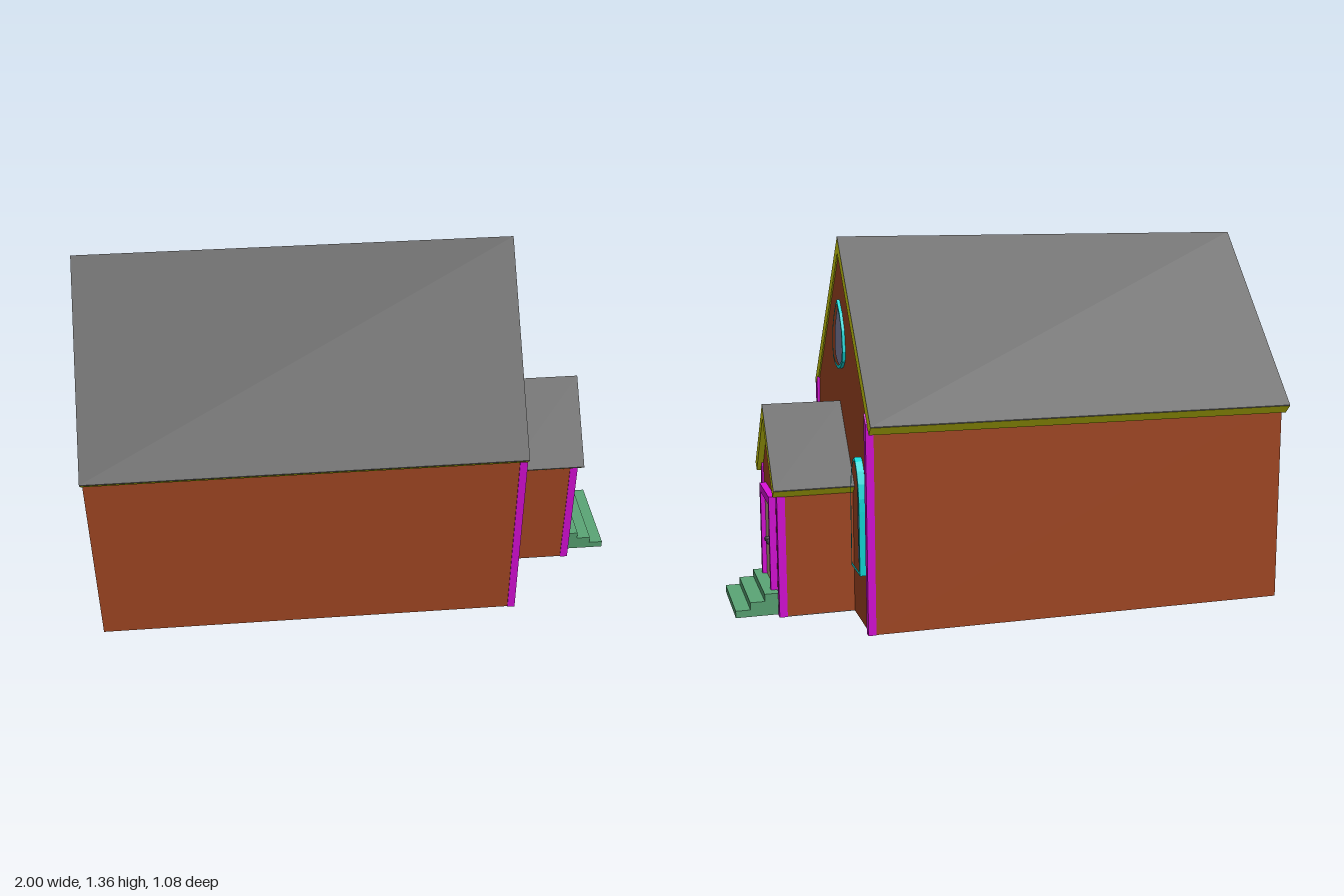
import * as THREE from 'three';

const mat = (color) => new THREE.MeshStandardMaterial({ color, flatShading: true });
const brick = mat(0xa84a25), roofGrey = mat(0x626262), yellow = mat(0xdcdc10),
  magenta = mat(0xdc10dc), cyan = mat(0x10dcdc), glass = mat(0x8888aa),
  green = mat(0x5ba676), wood = mat(0xbda684), dark = mat(0x444444), seam = mat(0xa0622f);

export function createModel() {
  const root = new THREE.Group();

  const add = (parent, name, geometry, material) => {
    const mesh = new THREE.Mesh(geometry, material);
    mesh.name = name;
    parent.add(mesh);
    return mesh;
  };
  const group = (name) => {
    const g = new THREE.Group();
    g.name = name;
    root.add(g);
    return g;
  };
  // Extrudes a [z, y] outline along x from x0 to x1
  const prism = (pts, x0, x1, hole) => {
    const vecs = (list) => list.map(([z, y]) => new THREE.Vector2(-z, y));
    const shape = new THREE.Shape(vecs(pts));
    if (hole) shape.holes.push(new THREE.Path(vecs(hole)));
    const geo = new THREE.ExtrudeGeometry(shape, { depth: x1 - x0, bevelEnabled: false });
    return geo.rotateY(Math.PI / 2).translate(x0, 0, 0);
  };
  const box = (x0, x1, y0, y1, z0, z1) =>
    new THREE.BoxGeometry(x1 - x0, y1 - y0, z1 - z0)
      .translate((x0 + x1) / 2, (y0 + y1) / 2, (z0 + z1) / 2);

  // Gable roof: trim-coloured slab with a thin covering on both slopes
  const roof = (parent, x0, x1, outer, inner) => {
    const [a, b, c] = outer;
    add(parent, 'roofTrim', prism([a, b, c, ...inner], x0, x1), yellow);
    const t = 0.003;
    add(parent, 'roofCovering', prism([[a[0], a[1] + t], [b[0], b[1] + t], [c[0], c[1] + t], c, b, a], x0, x1), roofGrey);
  };
  // Corner boards with tops cut to the roof slope
  const corners = (parent, x0, x1, zc, half, w, yOut, yIn) => {
    for (const s of [1, -1]) {
      const o = zc + s * half, i = zc + s * (half - w);
      add(parent, 'cornerBoard', prism([[o, 0], [o, yOut], [i, yIn], [i, 0]], x0, x1), magenta);
    }
  };

  // Main hall
  const hall = group('hall');
  add(hall, 'hallWalls', prism([[0.488, 0], [0.488, 0.755], [0.003, 1.303], [-0.482, 0.755], [-0.482, 0]], -0.998, 0.57), brick);
  roof(hall, -1, 0.575,
    [[0.54, 0.754], [0.003, 1.357], [-0.54, 0.744]],
    [[-0.509, 0.714], [0.003, 1.3], [0.509, 0.724]]);
  corners(hall, 0.553, 0.581, 0.003, 0.489, 0.03, 0.748, 0.78);

  // Entrance porch
  const porch = group('porch');
  add(porch, 'porchWalls', prism([[0.223, 0.003], [0.223, 0.475], [0.025, 0.698], [-0.193, 0.47], [-0.193, 0.003]], 0.565, 0.84), brick);
  add(porch, 'porchFloor', box(0.57, 0.838, 0, 0.004, -0.192, 0.222), roofGrey);
  roof(porch, 0.57, 0.862,
    [[0.26, 0.484], [0.025, 0.747], [-0.225, 0.474]],
    [[-0.195, 0.447], [0.025, 0.695], [0.23, 0.459]]);
  corners(porch, 0.818, 0.847, 0.015, 0.211, 0.03, 0.462, 0.495);

  // Double door with frame, seam and knobs
  const door = group('door');
  add(door, 'doorFrame', prism(
    [[0.14, 0.05], [0.14, 0.43], [-0.11, 0.43], [-0.11, 0.05], [-0.09, 0.05], [-0.09, 0.4], [0.115, 0.4], [0.115, 0.05]],
    0.835, 0.865), magenta);
  add(door, 'doorPanel', box(0.835, 0.848, 0.05, 0.402, -0.092, 0.117), wood);
  add(door, 'doorSeam', box(0.84, 0.849, 0.08, 0.4, 0.011, 0.015), seam);
  for (const z of [0.036, -0.008])
    add(door, 'doorKnob', new THREE.SphereGeometry(0.011, 12, 8).translate(0.855, 0.236, z), dark);

  // Steps as one stair profile in x, y
  const stair = new THREE.Shape([[0.842, 0], [1, 0], [1, 0.026], [0.947, 0.026], [0.947, 0.053],
    [0.894, 0.053], [0.894, 0.08], [0.842, 0.08]].map(([x, y]) => new THREE.Vector2(x, y)));
  add(root, 'steps', new THREE.ExtrudeGeometry(stair, { depth: 0.335, bevelEnabled: false })
    .translate(0, 0, -0.155), green);

  // Windows: half outline from bottom to peak, mirrored; inset sets the frame width
  const pane = (name, zc, half, yMid, depth, w) => {
    const g = group(name);
    const width = half[Math.floor(half.length / 2)][0];
    const top = half[half.length - 1][1], bottom = half[0][1];
    const ky = 1 - (2 * w) / (top - bottom), kx = 1 - w / width;
    const full = (sx, sy) => {
      const pts = half.map(([z, y]) => [z * sx, yMid + (y - yMid) * sy]);
      const mirror = pts.filter(([z]) => z > 0).reverse().map(([z, y]) => [-z, y]);
      return [...pts, ...mirror].map(([z, y]) => [z + zc, y]);
    };
    add(g, 'windowFrame', prism(full(1, 1), 0.565, depth, full(kx, ky)), cyan);
    add(g, 'windowGlass', prism(full(kx, ky), 0.565, 0.574), glass);
  };
  const lancet = [[0.076, 0.2], [0.076, 0.43], [0.074, 0.475], [0.064, 0.525], [0.046, 0.567], [0.022, 0.597], [0, 0.609]];
  for (const z of [0.355, -0.352]) pane('lancetWindow', z, lancet, 0.405, 0.596, 0.012);
  const rose = [[0, 0.874], [0.052, 0.884], [0.09, 0.91], [0.101, 0.948], [0.088, 1.025], [0.052, 1.083], [0, 1.13]];
  pane('gableWindow', 0.001, rose, 0.997, 0.581, 0.013);

  return root;
}
